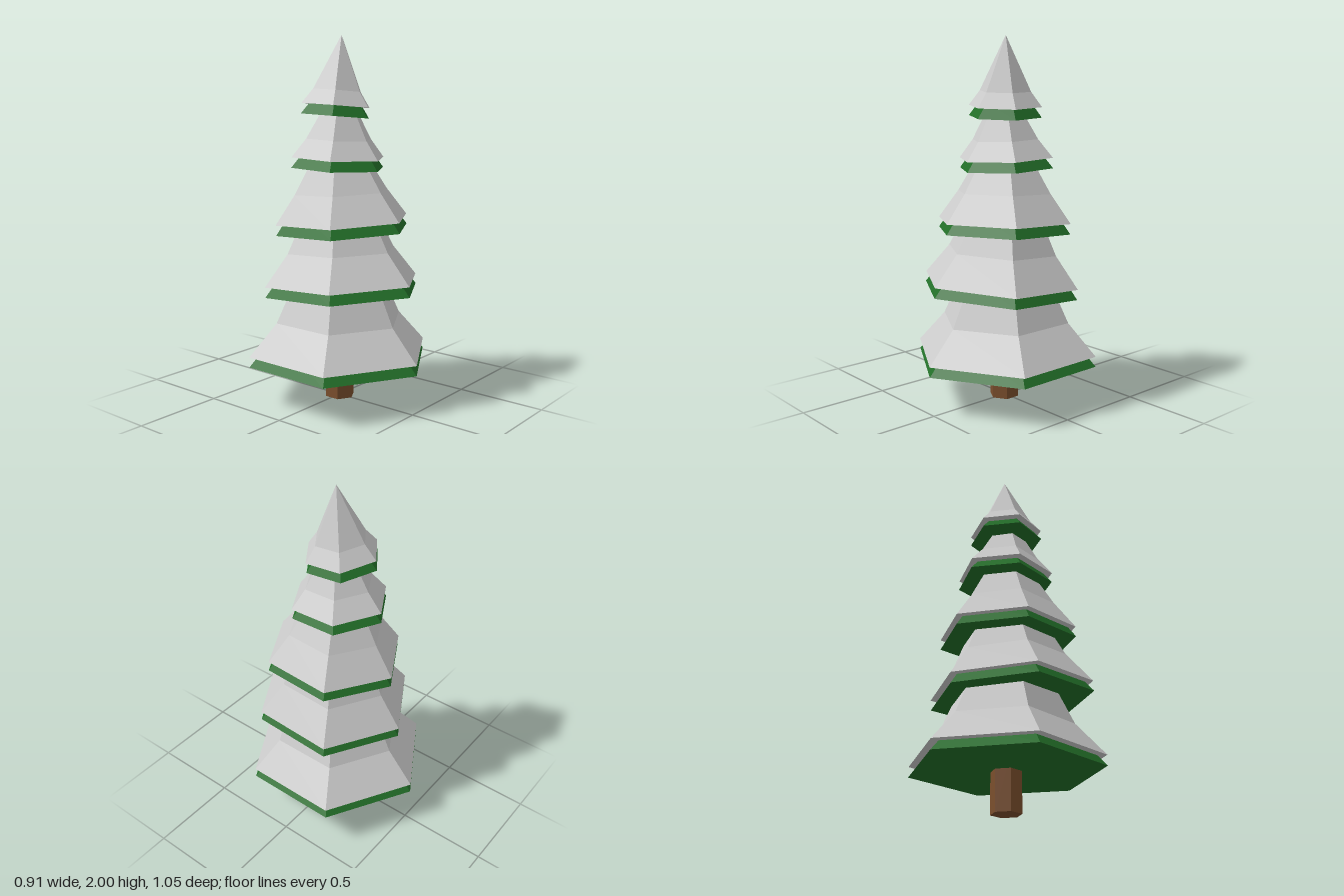
import * as THREE from 'three';

const material = (color) => new THREE.MeshStandardMaterial({ color, flatShading: true });

// Closed six-sided bough cone that flares towards its rim
function boughGeometry(radius, height, flareHeight) {
  const profile = [[0, 0], [radius, 0], [radius * 0.7, flareHeight], [0, height]];
  return new THREE.LatheGeometry(profile.map(([r, y]) => new THREE.Vector2(r, y)), 6);
}

export function createModel() {
  const tree = new THREE.Group();
  tree.name = 'snowyFirTree';
  const snow = material(0xcccccc);
  const needles = material(0x226e28);
  const bark = material(0x7a4e2d);

  // Hexagonal trunk
  const trunk = new THREE.Mesh(new THREE.CylinderGeometry(0.083, 0.083, 0.3, 6), bark);
  trunk.name = 'trunk';
  trunk.position.set(0, 0.15, 0.004);
  tree.add(trunk);

  // Tiers from bottom to top: snow rim centre, size, and slight tilt
  const tiers = [
    { at: [0, 0.275, 0], radius: 0.523, height: 0.95, flare: 0.175, turn: [0, 0, 0] },
    { at: [-0.008, 0.667, 0.03], radius: 0.446, height: 0.8, flare: 0.17, turn: [-0.056, 0, -0.02] },
    { at: [0.006, 1.005, 0.018], radius: 0.383, height: 0.6, flare: 0.155, turn: [-0.04, -0.015, 0.02] },
    { at: [-0.002, 1.347, -0.006], radius: 0.268, height: 0.43, flare: 0.1, turn: [0.04, 0, 0] },
    { at: [-0.012, 1.625, -0.012], radius: 0.204, height: 0.375, flare: 0.08, turn: [0.05, 0.08, -0.065] },
  ];
  tiers.forEach(({ at, radius, height, flare, turn }, i) => {
    const tier = new THREE.Group();
    tier.name = `tier${i + 1}`;
    tier.position.set(...at);
    tier.rotation.set(...turn);

    // Snow cap sits on an identical green layer placed slightly lower
    const geometry = boughGeometry(radius, height, flare);
    const cap = new THREE.Mesh(geometry, snow);
    cap.name = 'snowCap';
    const boughs = new THREE.Mesh(geometry, needles);
    boughs.name = 'greenBoughs';
    boughs.position.y = -0.056;
    tier.add(cap, boughs);
    tree.add(tier);
  });

  return tree;
}
